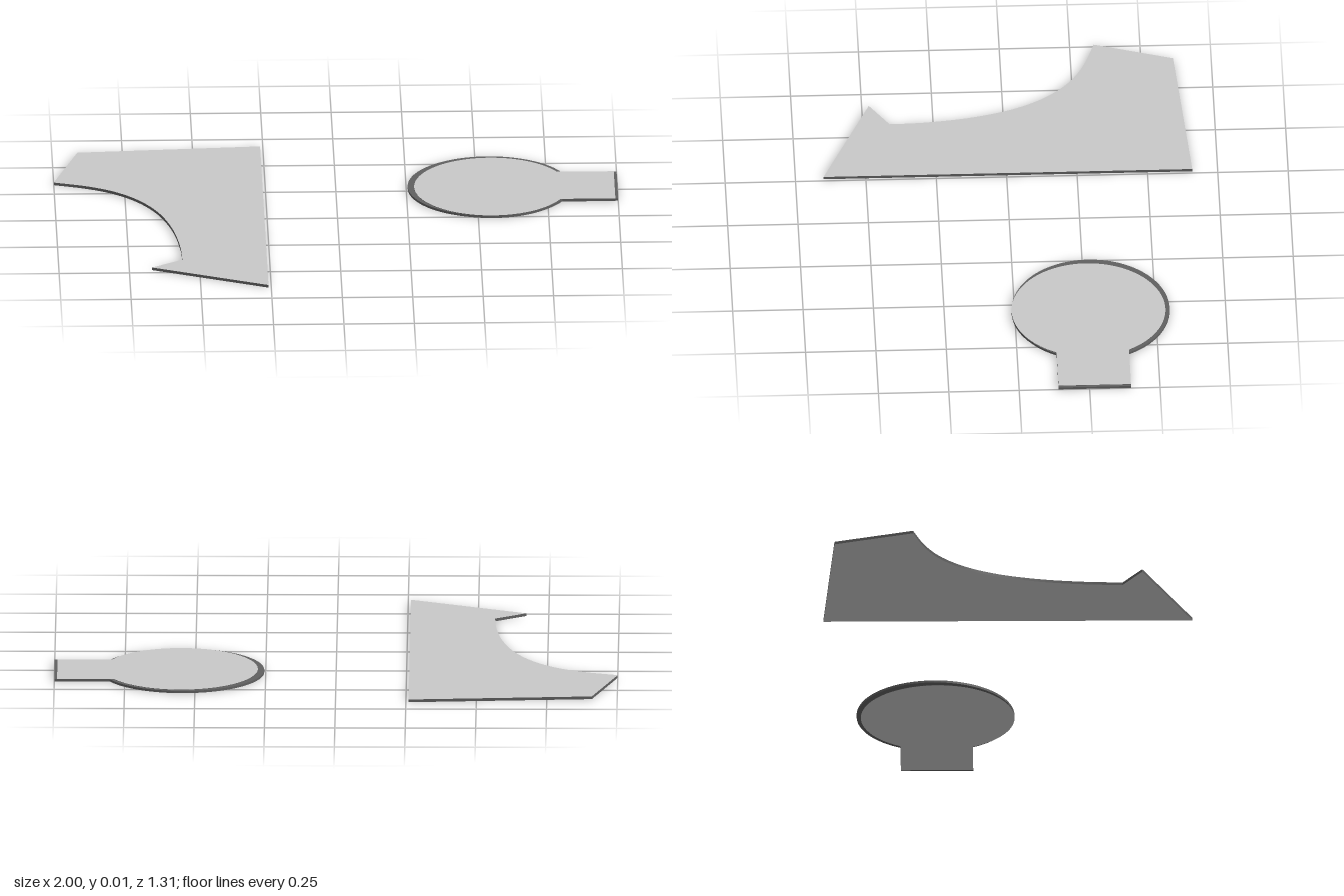
import * as THREE from 'three';

const pale = new THREE.MeshStandardMaterial({ name: 'paleGrey', color: 0xc8c8c8 });
const dark = new THREE.MeshStandardMaterial({ name: 'darkGrey', color: 0x606060 });

// Flat slab from plan points [x, z], with separate face and edge colours
function slab(name, points, y0, y1, faceMaterial) {
  const shape = new THREE.Shape(points.map(([x, z]) => new THREE.Vector2(x, -z)));
  const geometry = new THREE.ExtrudeGeometry(shape, { depth: y1 - y0, bevelEnabled: false });
  geometry.rotateX(-Math.PI / 2).translate(0, y0, 0);
  const mesh = new THREE.Mesh(geometry, [faceMaterial, dark]);
  mesh.name = name;
  return mesh;
}

// Round plan with a rectangular tab on its left
function tabbedDisc(cx, cz, rx, rz, tabEnd) {
  const back = -0.397, front = -0.14;
  const a0 = Math.asin((front - cz) / rz);
  const a1 = 2 * Math.PI + Math.asin((back - cz) / rz);
  const points = [];
  for (let i = 0; i <= 64; i++) {
    const a = a0 + (a1 - a0) * i / 64;
    points.push([cx + rx * Math.cos(a), cz + rz * Math.sin(a)]);
  }
  points.push([tabEnd, back], [tabEnd, front]);
  return points;
}

export function createModel() {
  const model = new THREE.Group();
  const thickness = 0.01;

  // Large plate with a curved cut-out
  const cut = new THREE.SplineCurve([
    [-0.56, 0.405], [-0.565, 0.28], [-0.587, 0.12], [-0.63, -0.03],
    [-0.695, -0.15], [-0.78, -0.238], [-0.88, -0.295], [-1, -0.335],
  ].map(([x, z]) => new THREE.Vector2(x, z)));
  const plate = [
    [-0.91, -0.615], [-0.26, -0.66], [-0.26, 0.65], [-0.67, 0.475],
    ...cut.getPoints(40).map((p) => [p.x, p.y]),
  ];
  model.add(slab('curvedPlate', plate, 0, thickness, pale));

  // Tabbed disc: pale faces on a slightly larger dark rim
  const disc = new THREE.Group();
  disc.name = 'tabbedDisc';
  disc.add(slab('discFaces', tabbedDisc(0.551, -0.262, 0.273, 0.273, 0.99), 0, thickness, pale));
  disc.add(slab('discRim', tabbedDisc(0.545, -0.27, 0.29, 0.28, 1), 0.001, thickness - 0.001, dark));
  model.add(disc);

  return model;
}
